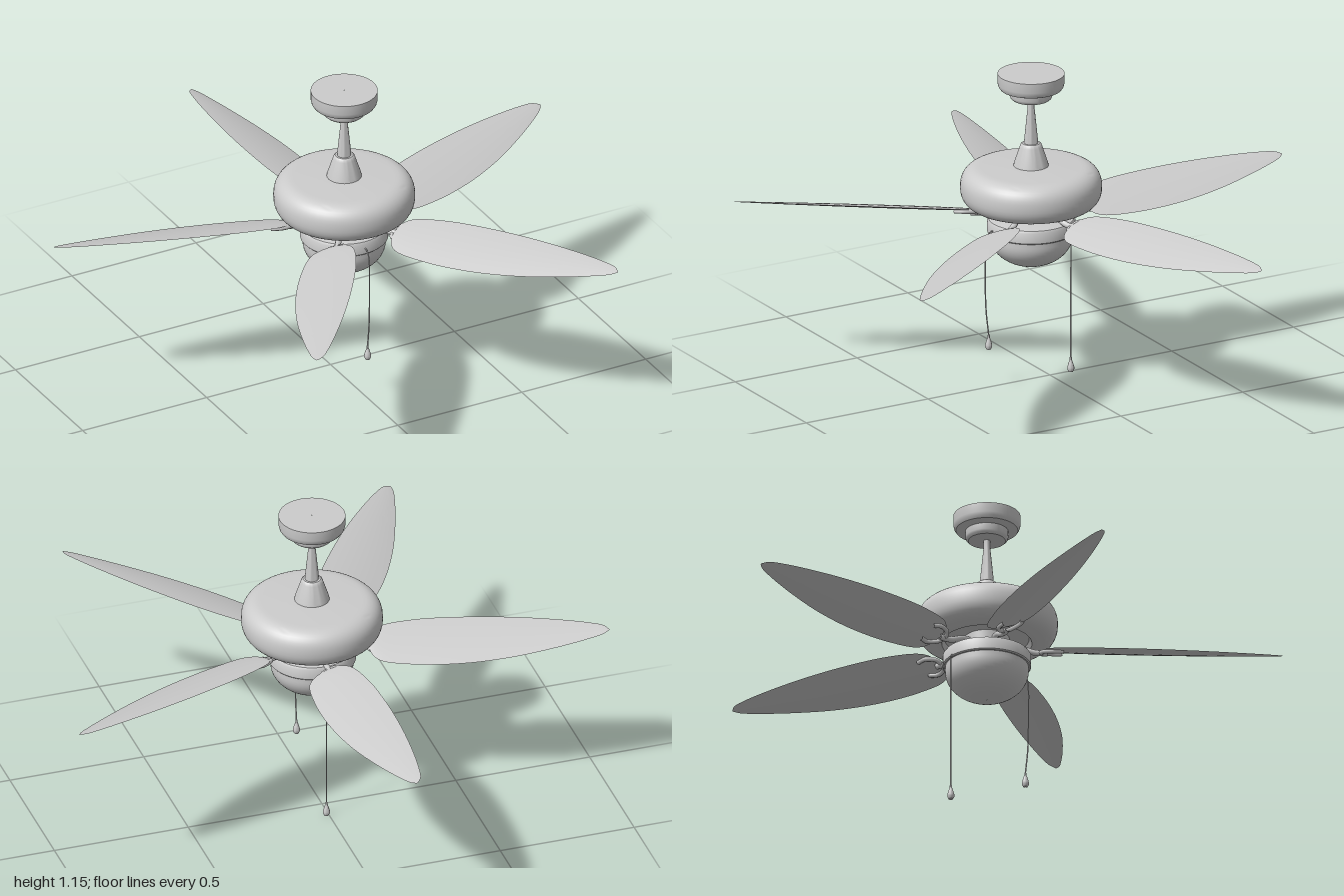
import * as THREE from 'three';
import { toCreasedNormals } from 'three/addons/utils/BufferGeometryUtils.js';

const BLADES = 5;
const BLADE_Y = 0.634;
const PITCH = -1 / 3; // height change across a blade

const metal = new THREE.MeshStandardMaterial({ color: 0xcccccc });
metal.name = 'light grey';

function mesh(name, geometry) {
  const m = new THREE.Mesh(geometry, metal);
  m.name = name;
  return m;
}

// Turned part from [radius, y] pairs listed bottom to top
function turned(name, profile, segments = 56) {
  const pts = profile.map(([r, y]) => new THREE.Vector2(r, y));
  return mesh(name, toCreasedNormals(new THREE.LatheGeometry(pts, segments), 0.6));
}

function tube(name, points, radius, segments = 20) {
  const curve = new THREE.CatmullRomCurve3(points.map((p) => new THREE.Vector3(...p)));
  return mesh(name, new THREE.TubeGeometry(curve, segments, radius, 8));
}

// Rounded side of the motor: a superellipse swept from bottom to top
function motorProfile() {
  const pts = [[0.001, 0.675], [0.15, 0.675], [0.16, 0.656]];
  const n = 20;
  for (let i = 0; i <= n; i++) {
    const a = -Math.PI / 2 + (Math.PI * i) / n;
    const c = Math.pow(Math.abs(Math.cos(a)), 0.85);
    const s = Math.sign(Math.sin(a)) * Math.pow(Math.abs(Math.sin(a)), 0.85);
    pts.push([0.178 + 0.074 * c, 0.73 + 0.074 * s]);
  }
  pts.push([0.06, 0.809], [0.001, 0.809]);
  return pts;
}

// Blade: lens-shaped cross-sections lofted between two edge curves
function bladeGeometry() {
  // distance from the axis, trailing edge, leading edge
  const outline = [
    [0.2, 0.01, 0.014], [0.21, -0.032, 0.056], [0.24, -0.062, 0.088], [0.36, -0.09, 0.107],
    [0.53, -0.101, 0.104], [0.7, -0.1, 0.079], [0.855, -0.09, 0.039],
    [0.98, -0.075, -0.002], [1.035, -0.062, -0.025], [1.055, -0.045, -0.041],
  ];
  const edge = (k) => new THREE.CatmullRomCurve3(outline.map((o) => new THREE.Vector3(o[k], 0, -o[0])));
  const left = edge(1), right = edge(2);
  const rows = 54, half = 8, ring = half * 2;
  const pos = [], idx = [];
  for (let i = 0; i <= rows; i++) {
    const l = left.getPoint(i / rows), r = right.getPoint(i / rows);
    const w = (r.x - l.x) / 2;
    for (let j = 0; j < ring; j++) {
      const top = j < half;
      const s = top ? -1 + (2 * j) / half : 1 - (2 * (j - half)) / half;
      const x = (l.x + r.x) / 2 + w * s;
      const z = THREE.MathUtils.lerp(l.z, r.z, (s + 1) / 2);
      pos.push(x, x * PITCH + (top ? 1 : -1) * 0.06 * w * (1 - s * s), z);
    }
  }
  for (let i = 0; i < rows; i++) {
    for (let j = 0; j < ring; j++) {
      const a = i * ring + j, b = i * ring + ((j + 1) % ring);
      idx.push(a, b, a + ring, b, b + ring, a + ring);
    }
  }
  const g = new THREE.BufferGeometry();
  g.setAttribute('position', new THREE.Float32BufferAttribute(pos, 3));
  g.setIndex(idx);
  return toCreasedNormals(g, 0.7);
}

// Forked arm holding one blade from below
function bladeArm() {
  const arm = new THREE.Group();
  arm.name = 'bladeArm';
  arm.add(tube('armStem', [[0, 0.648, -0.06], [0, 0.646, -0.11], [0, 0.625, -0.165], [0, 0.622, -0.215]], 0.011));
  for (const side of [-1, 1]) {
    const y = (x) => BLADE_Y + x * PITCH - 0.008;
    arm.add(tube('armProng', [
      [0, 0.622, -0.19], [side * 0.025, y(side * 0.025), -0.2],
      [side * 0.042, y(side * 0.042), -0.235], [side * 0.035, y(side * 0.035), -0.27],
    ], 0.008));
  }
  return arm;
}

// Pull chain with a teardrop weight at its lower end
function pullChain(name, points) {
  const chain = new THREE.Group();
  chain.name = name;
  chain.add(tube('chain', points, 0.0025, 32));
  const [x, y, z] = points[points.length - 1];
  const weight = turned('chainWeight', [
    [0.001, -0.055], [0.008, -0.053], [0.0125, -0.044], [0.0125, -0.036],
    [0.008, -0.02], [0.004, -0.008], [0.004, 0], [0.001, 0.001],
  ], 16);
  weight.position.set(x, y, z);
  chain.add(weight);
  return chain;
}

export function createModel() {
  const fan = new THREE.Group();
  fan.name = 'ceilingFan';
  fan.position.set(0.01, 0, 0.083);

  // Ceiling mount and down rod
  fan.add(turned('canopy', [
    [0.001, 1.095], [0.1, 1.095], [0.11, 1.099], [0.116, 1.108], [0.119, 1.12], [0.119, 1.155], [0.001, 1.155],
  ]));
  fan.add(turned('canopyCollar', [
    [0.001, 1.058], [0.066, 1.058], [0.073, 1.064], [0.076, 1.072], [0.076, 1.097],
  ]));
  fan.add(turned('downRod', [[0.025, 0.885], [0.024, 0.91], [0.012, 1.03], [0.012, 1.065]], 32));
  fan.add(turned('rodCone', [
    [0.064, 0.8], [0.06, 0.82], [0.04, 0.88], [0.037, 0.889], [0.032, 0.893], [0.001, 0.893],
  ], 40));

  // Motor, neck and light fitting
  fan.add(turned('motorHousing', motorProfile()));
  fan.add(turned('hub', [[0.08, 0.605], [0.08, 0.68]], 40));
  fan.add(turned('lightCollar', [
    [0.001, 0.563], [0.153, 0.563], [0.157, 0.567], [0.157, 0.605], [0.152, 0.613], [0.145, 0.615], [0.001, 0.615],
  ]));
  const bowl = [];
  for (let i = 0; i <= 16; i++) {
    const a = (Math.PI / 2) * (i / 16);
    bowl.push([Math.max(0.001, 0.148 * Math.sin(a)), 0.545 - 0.108 * Math.cos(a)]);
  }
  bowl.push([0.148, 0.566]);
  fan.add(turned('lightBowl', bowl));

  // Blades with their arms, evenly spaced round the hub
  const bladeGeo = bladeGeometry();
  for (let i = 0; i < BLADES; i++) {
    const unit = new THREE.Group();
    unit.name = 'bladeUnit';
    const blade = mesh('blade', bladeGeo);
    blade.position.y = BLADE_Y;
    unit.add(blade, bladeArm());
    unit.rotation.y = (i * Math.PI * 2) / BLADES;
    fan.add(unit);
  }

  // Pull chains at the front and back of the light fitting
  fan.add(pullChain('frontPullChain', [
    [0, 0.588, 0.15], [0, 0.586, 0.17], [0, 0.56, 0.184], [0, 0.45, 0.188], [0, 0.3, 0.185], [0, 0.2, 0.174],
  ]));
  fan.add(pullChain('backPullChain', [
    [0, 0.575, -0.15], [0, 0.571, -0.159], [0, 0.54, -0.163], [0, 0.3, -0.163], [0, 0.055, -0.163],
  ]));

  const model = new THREE.Group();
  model.name = 'model';
  model.add(fan);
  return model;
}
